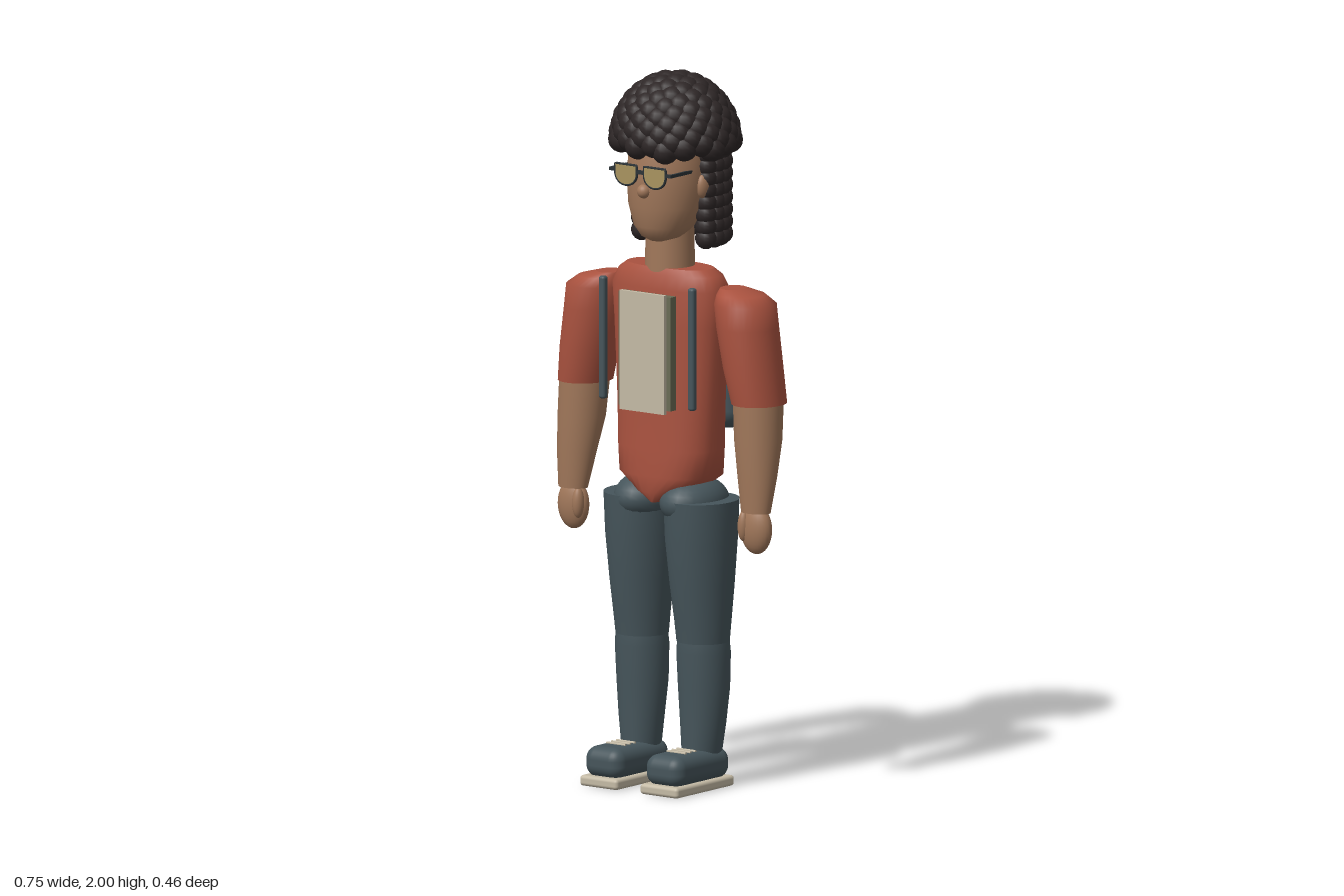
import * as THREE from 'three';
import { mergeGeometries } from 'three/addons/utils/BufferGeometryUtils.js';
import { RoundedBoxGeometry } from 'three/addons/geometries/RoundedBoxGeometry.js';

const mat = (name, color, side = THREE.FrontSide) =>
  Object.assign(new THREE.MeshStandardMaterial({ color, side }), { name });

// Smooth body through stacked ovals, bottom to top: [y, centreX, radiusX, centreZ, radiusZ]
function loft(sections, power = 2, n = 32) {
  const pos = [], idx = [], caps = [];
  const bend = v => Math.sign(v) * Math.abs(v) ** (2 / power);
  const ring = ([y, cx, rx, cz, rz]) => {
    for (let j = 0; j < n; j++) {
      const a = (j / n) * Math.PI * 2;
      pos.push(cx + rx * bend(Math.cos(a)), y, cz + rz * bend(Math.sin(a)));
    }
  };
  sections.forEach(ring);
  for (let i = 0; i < sections.length - 1; i++) {
    for (let j = 0; j < n; j++) {
      const k = (j + 1) % n, a = i * n + j, b = i * n + k;
      idx.push(a, a + n, b, b, a + n, b + n);
    }
  }
  // Flat caps with their own corners
  for (const top of [false, true]) {
    const s = top ? sections[sections.length - 1] : sections[0];
    const start = pos.length / 3;
    ring(s);
    pos.push(s[1], s[0], s[3]);
    caps.push([start + n, s]);
    for (let j = 0; j < n; j++) {
      const k = (j + 1) % n;
      if (top) idx.push(start + n, start + k, start + j);
      else idx.push(start + n, start + j, start + k);
    }
  }
  const p = new Float32Array(pos);
  for (const [c, s] of caps) p.set([s[1], s[0], s[3]], c * 3);
  const g = new THREE.BufferGeometry();
  g.setAttribute('position', new THREE.BufferAttribute(p, 3));
  g.setIndex(idx);
  g.computeVertexNormals();
  return g;
}

const ball = (x, y, z, rx, ry = rx, rz = rx, w = 24, h = 16) =>
  new THREE.SphereGeometry(1, w, h).scale(rx, ry, rz).translate(x, y, z);
const box = (x, y, z, w, h, d) => new THREE.BoxGeometry(w, h, d).translate(x, y, z);
const rounded = (x, y, z, w, h, d, r) =>
  new RoundedBoxGeometry(w, h, d, 4, r).translate(x, y, z);

export function createModel() {
  const model = new THREE.Group();
  model.name = 'standingFigure';
  const skin = mat('skin', 0xa0775a);
  const red = mat('redCloth', 0xa9523f);
  const slate = mat('slateCloth', 0x46555b);
  const hair = mat('hair', 0x2e2727, THREE.DoubleSide);
  const cream = mat('cream', 0xc4baa5);
  const dark = mat('darkFrame', 0x2c3337);
  const olive = mat('oliveTrim', 0x696b55);
  const lensTint = mat('lensTint', 0xa8935f);
  const add = (name, geometry, material) => {
    const m = new THREE.Mesh(geometry, material);
    m.name = name;
    model.add(m);
    return m;
  };

  // Torso tapering to a point between the hips
  add('shirt', loft([
    [0.80, 0, 0.02, 0.03, 0.09], [0.83, 0, 0.085, 0.03, 0.105], [0.875, 0, 0.152, 0.03, 0.108],
    [0.95, 0, 0.159, 0.03, 0.105], [1.1, 0, 0.166, 0.03, 0.098], [1.3, 0, 0.178, 0.03, 0.094],
    [1.40, 0, 0.187, 0.03, 0.09], [1.44, 0, 0.165, 0.032, 0.078], [1.458, 0, 0.138, 0.034, 0.065],
  ], 2.4), red);

  // Neck and head
  add('neck', new THREE.CylinderGeometry(0.066, 0.07, 0.17, 28).translate(0, 1.52, 0.037), skin);
  add('head', loft([
    [1.533, 0, 0.03, 0.075, 0.035], [1.545, 0, 0.058, 0.07, 0.062], [1.575, 0, 0.086, 0.063, 0.084],
    [1.63, 0, 0.107, 0.053, 0.103], [1.70, 0, 0.115, 0.045, 0.115], [1.78, 0, 0.112, 0.04, 0.116],
    [1.86, 0, 0.09, 0.03, 0.1],
  ]), skin);
  add('nose', ball(0, 1.68, 0.155, 0.02, 0.02, 0.02), skin);

  // Curly crown: a dome covered in evenly spread curls
  const crown = [], count = 135;
  for (let i = 0; i < count; i++) {
    const h = 1 - (i + 0.5) / count, r = Math.sqrt(1 - h * h), a = i * 2.39996;
    crown.push(ball(r * Math.cos(a) * 0.155, 1.798 + h * 0.164, 0.012 + r * Math.sin(a) * 0.141,
      0.038, 0.038, 0.038, 14, 10));
  }
  add('crownCurls', mergeGeometries(crown), hair);
  add('crownBase', new THREE.SphereGeometry(1, 32, 12, 0, Math.PI * 2, 0, Math.PI / 2)
    .scale(0.155, 0.162, 0.14).translate(0, 1.795, 0.012), hair);

  // Long back hair in columns of curls
  const back = [], columns = 14, rows = 8;
  for (let c = 0; c < columns; c++) {
    const t = -0.25 + (Math.PI + 0.5) * c / (columns - 1);
    for (let r = 0; r < rows; r++) {
      back.push(ball(Math.cos(t) * 0.115, 1.54 + r * 0.034, -0.01 - Math.sin(t) * 0.12,
        0.03, 0.03, 0.03, 12, 9));
    }
  }
  add('backCurls', mergeGeometries(back), hair);
  add('backHairBase', new THREE.CylinderGeometry(1, 1, 0.26, 24, 1, true, Math.PI / 2, Math.PI)
    .scale(0.115, 1, 0.12).translate(0, 1.66, -0.01), hair);

  // Front panel with side trims
  add('panelBacking', box(0, 1.23, 0.14, 0.18, 0.32, 0.026), olive);
  add('frontPanel', box(0, 1.228, 0.159, 0.155, 0.335, 0.012), cream);

  // Backpack
  add('backpack', rounded(0, 1.172, -0.128, 0.28, 0.375, 0.135, 0.055), slate);
  add('backpackPocket', rounded(0, 1.11, -0.205, 0.205, 0.16, 0.05, 0.02), red);

  // Glasses bridge
  add('glassesBridge', box(0, 1.735, 0.17, 0.03, 0.01, 0.01), dark);

  for (const s of [1, -1]) {
    const side = s > 0 ? 'left' : 'right';

    // Face sides: ear, lens, frame and temple
    add(side + 'Ear', ball(s * 0.115, 1.69, 0.035, 0.018, 0.036, 0.025), skin);
    const lens = new THREE.Shape();
    lens.moveTo(-0.037, 0.025).lineTo(0.037, 0.025).lineTo(0.037, 0)
      .bezierCurveTo(0.034, -0.042, -0.034, -0.042, -0.037, 0);
    lens.closePath();
    add(side + 'Lens', new THREE.ExtrudeGeometry(lens, { depth: 0.006, bevelEnabled: false })
      .translate(s * 0.05, 1.727, 0.168), lensTint);
    const rim = new THREE.CatmullRomCurve3(
      lens.getSpacedPoints(32).slice(0, -1).map(p => new THREE.Vector3(p.x, p.y, 0)), true);
    add(side + 'LensRim', new THREE.TubeGeometry(rim, 48, 0.004, 6, true)
      .translate(s * 0.05, 1.727, 0.171), dark);
    add(side + 'Temple', box(s * 0.104, 1.735, 0.105, 0.008, 0.009, 0.135), dark);
    add(side + 'Hinge', box(s * 0.097, 1.735, 0.17, 0.02, 0.009, 0.009), dark);

    // Shoulder strap
    add(side + 'Strap', rounded(s * 0.155, 1.25, 0.138, 0.022, 0.345, 0.022, 0.008), slate);

    // Arm
    add(side + 'Sleeve', loft([
      [1.1, s * 0.302, 0.073, 0.026, 0.084], [1.2, s * 0.284, 0.08, 0.03, 0.09],
      [1.31, s * 0.265, 0.085, 0.03, 0.091], [1.375, s * 0.257, 0.086, 0.03, 0.089],
      [1.4, s * 0.241, 0.066, 0.03, 0.07], [1.415, s * 0.215, 0.035, 0.03, 0.04],
    ]), red);
    add(side + 'Forearm', loft([
      [0.8, s * 0.318, 0.045, 0.062, 0.033], [0.9, s * 0.314, 0.058, 0.05, 0.05],
      [1.0, s * 0.307, 0.068, 0.037, 0.065], [1.11, s * 0.302, 0.07, 0.03, 0.072],
    ]), skin);
    add(side + 'Hand', ball(s * 0.318, 0.752, 0.06, 0.05, 0.07, 0.031), skin);
    add(side + 'Thumb', ball(s * 0.288, 0.76, 0.078, 0.017, 0.043, 0.018), skin);

    // Leg
    add(side + 'Hip', ball(s * 0.08, 0.80, 0.03, 0.085, 0.07, 0.115), slate);
    add(side + 'Thigh', loft([
      [0.41, s * 0.106, 0.074, 0.025, 0.074], [0.47, s * 0.106, 0.079, 0.026, 0.081],
      [0.57, s * 0.105, 0.088, 0.028, 0.094], [0.7, s * 0.104, 0.098, 0.03, 0.107],
      [0.81, s * 0.104, 0.102, 0.03, 0.112],
    ]), slate);
    add(side + 'Shin', loft([
      [0.09, s * 0.105, 0.054, 0.03, 0.058], [0.18, s * 0.107, 0.064, 0.026, 0.064],
      [0.28, s * 0.107, 0.073, 0.022, 0.071], [0.38, s * 0.107, 0.076, 0.024, 0.075],
      [0.42, s * 0.107, 0.072, 0.025, 0.072],
    ]), slate);

    // Shoe
    add(side + 'Sole', rounded(s * 0.105, 0.015, 0.096, 0.132, 0.03, 0.264, 0.01), cream);
    add(side + 'Shoe', rounded(s * 0.105, 0.067, 0.095, 0.128, 0.088, 0.25, 0.036), slate);
    for (let i = 0; i < 3; i++) {
      add(side + 'Lace', new THREE.CylinderGeometry(0.004, 0.004, 0.065, 8).rotateZ(Math.PI / 2)
        .translate(s * 0.105, 0.112, 0.1 + i * 0.022), cream);
    }
  }
  return model;
}
